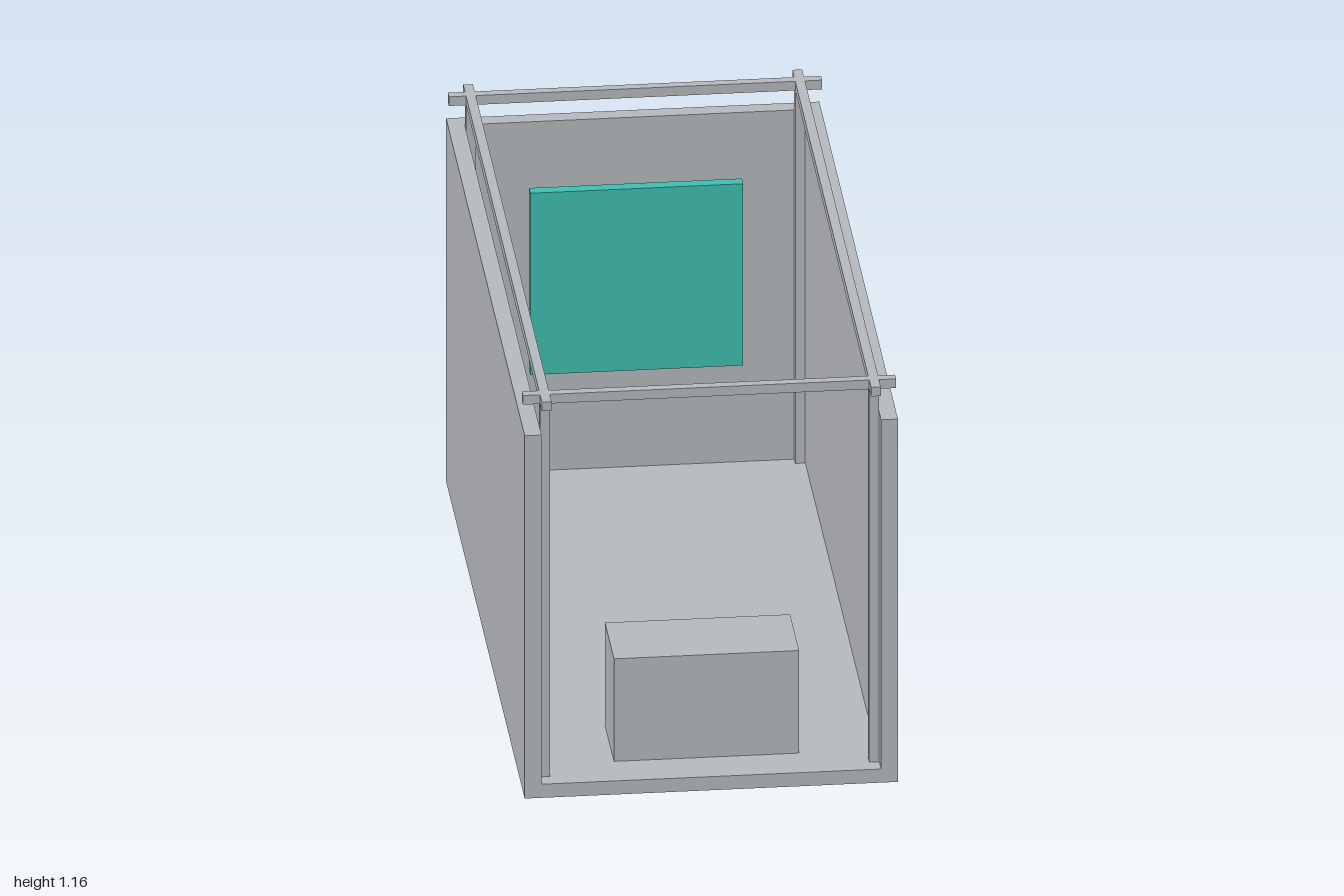
import * as THREE from 'three';

export function createModel() {
  const group = new THREE.Group();
  const grey = new THREE.MeshStandardMaterial({ color: 0xb8bbc0 });
  grey.name = 'grey';
  const teal = new THREE.MeshStandardMaterial({ color: 0x40c1b3 });
  teal.name = 'teal';

  // Box given by its minimum and maximum along each axis
  function box(name, [x0, x1], [y0, y1], [z0, z1], material = grey) {
    const mesh = new THREE.Mesh(new THREE.BoxGeometry(x1 - x0, y1 - y0, z1 - z0), material);
    mesh.position.set((x0 + x1) / 2, (y0 + y1) / 2, (z0 + z1) / 2);
    mesh.name = name;
    group.add(mesh);
  }

  const floorTop = 0.04, wallTop = 1.068, railBottom = 1.138, railTop = 1.165;
  const inner = 0.455; // inside face of the side walls
  const span = (side, a, b) => (side > 0 ? [a, b] : [-b, -a]);

  // Open-fronted booth shell
  box('floor', [-0.5, 0.5], [0, floorTop], [-1, 1]);
  box('backWall', [-inner, inner], [floorTop, wallTop], [-1, -0.955]);
  for (const side of [1, -1]) {
    const label = side > 0 ? 'left' : 'right';
    box(label + 'Wall', span(side, inner, 0.5), [floorTop, wallTop], [-1, 1]);

    // Corner posts and overhead rails, crossing at the corners
    const railX = span(side, 0.428, 0.454);
    box(label + 'Rail', railX, [railBottom, railTop], [-1, 1]);
    for (const end of [1, -1]) {
      box(label + (end > 0 ? 'Front' : 'Back') + 'Post', railX, [floorTop, railBottom], span(end, 0.928, 0.954));
    }
    box(side > 0 ? 'frontRail' : 'backRail', [-0.5, 0.5], [railBottom, railTop], span(side, 0.928, 0.954));
  }

  // Display panel and counter
  box('screen', [-0.285, 0.285], [0.35, 0.885], [-0.93, -0.897], teal);
  box('counter', [-0.248, 0.248], [floorTop, 0.342], [0.65, 0.878]);

  return group;
}
